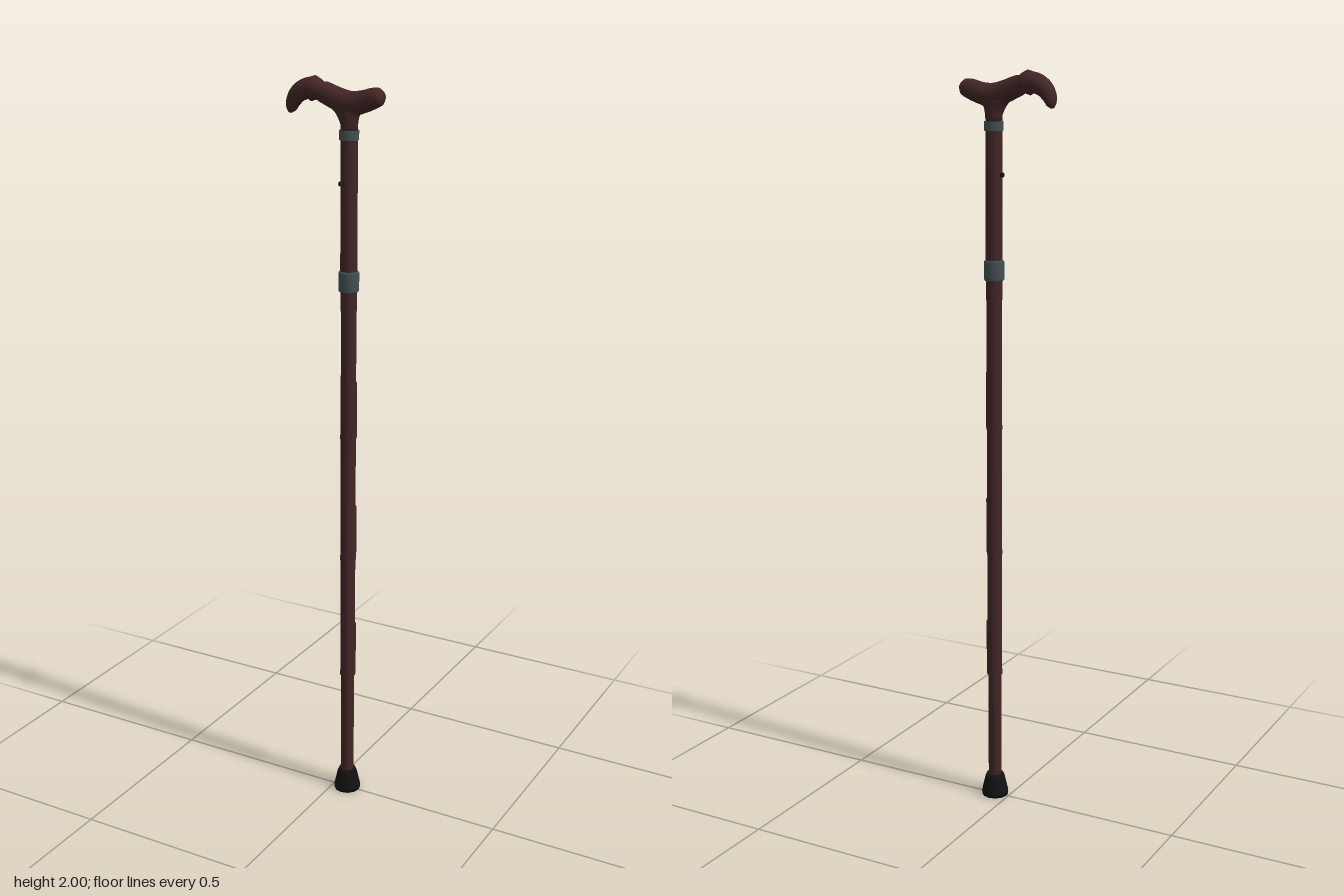
import * as THREE from 'three';

const wood = new THREE.MeshStandardMaterial({ color: 0x432626 });
wood.name = 'dark brown';
const metal = new THREE.MeshStandardMaterial({ color: 0x435052 });
metal.name = 'grey metal';
const rubber = new THREE.MeshStandardMaterial({ color: 0x121212 });
rubber.name = 'black rubber';

const AXIS = 0.042; // x of the shaft

// Closed smooth skin over elliptical rings; u x v points along the path
function loft(rings, sides = 24) {
  const pos = [], idx = [];
  for (const { c, u, v, a, b } of rings) {
    for (let j = 0; j < sides; j++) {
      const t = (j / sides) * Math.PI * 2;
      const p = c.clone().addScaledVector(u, a * Math.cos(t)).addScaledVector(v, b * Math.sin(t));
      pos.push(p.x, p.y, p.z);
    }
  }
  const n = rings.length;
  const first = n * sides, last = first + 1;
  pos.push(...rings[0].c.toArray(), ...rings[n - 1].c.toArray());
  for (let j = 0; j < sides; j++) {
    const k = (j + 1) % sides;
    for (let i = 0; i < n - 1; i++) {
      const p = i * sides, q = p + sides;
      idx.push(p + j, p + k, q + j, p + k, q + k, q + j);
    }
    const e = (n - 1) * sides;
    idx.push(first, k, j, last, e + j, e + k);
  }
  const g = new THREE.BufferGeometry();
  g.setAttribute('position', new THREE.Float32BufferAttribute(pos, 3));
  g.setIndex(idx);
  g.computeVertexNormals();
  return g;
}

// Curved grip: centre x, centre y, half height, half width
function gripGeometry() {
  const stations = [
    [-0.127, 1.910, 0.004, 0.008],
    [-0.124, 1.919, 0.012, 0.017],
    [-0.117, 1.940, 0.019, 0.023],
    [-0.100, 1.961, 0.024, 0.026],
    [-0.070, 1.973, 0.027, 0.027],
    [-0.030, 1.965, 0.027, 0.027],
    [0.010, 1.950, 0.029, 0.027],
    [0.045, 1.941, 0.031, 0.027],
    [0.080, 1.947, 0.028, 0.027],
    [0.110, 1.957, 0.026, 0.027],
    [0.127, 1.962, 0.022, 0.025],
    [0.135, 1.964, 0.012, 0.016],
  ];
  const path = new THREE.CatmullRomCurve3(stations.map(s => new THREE.Vector3(s[0], s[1], 0)));
  const size = new THREE.CatmullRomCurve3(stations.map(s => new THREE.Vector3(s[2], s[3], 0)));
  const rings = [], steps = 44;
  for (let i = 0; i <= steps; i++) {
    const d = path.getTangent(i / steps), s = size.getPoint(i / steps);
    rings.push({
      c: path.getPoint(i / steps),
      u: new THREE.Vector3(-d.y, d.x, 0), v: new THREE.Vector3(0, 0, 1),
      a: s.x, b: s.y,
    });
  }
  return loft(rings);
}

// Neck flaring from the shaft into the grip: y, centre x, half x, half z
function neckGeometry() {
  const u = new THREE.Vector3(0, 0, 1), v = new THREE.Vector3(1, 0, 0);
  return loft([
    [1.870, 0.042, 0.022, 0.022],
    [1.890, 0.042, 0.022, 0.022],
    [1.905, 0.040, 0.027, 0.023],
    [1.918, 0.038, 0.034, 0.024],
    [1.930, 0.036, 0.046, 0.024],
    [1.942, 0.032, 0.060, 0.022],
  ].map(([y, x, b, a]) => ({ c: new THREE.Vector3(x, y, 0), u, v, a, b })));
}

export function createModel() {
  const model = new THREE.Group();

  const add = (name, geometry, material, x = 0, y = 0) => {
    const mesh = new THREE.Mesh(geometry, material);
    mesh.name = name;
    mesh.position.set(x, y, 0);
    model.add(mesh);
    return mesh;
  };
  const tube = (name, y0, y1, r, material) =>
    add(name, new THREE.CylinderGeometry(r, r, y1 - y0, 24), material, AXIS, (y0 + y1) / 2);

  // Handle
  add('grip', gripGeometry(), wood);
  add('neck', neckGeometry(), wood);
  tube('neckCollar', 1.852, 1.876, 0.025, metal);

  // Upper shaft with its height button on the right side
  tube('upperShaft', 1.5, 1.86, 0.022, wood);
  const button = add('heightButton', new THREE.CylinderGeometry(0.006, 0.006, 0.012, 12), rubber, AXIS - 0.022, 1.74);
  button.rotation.z = Math.PI / 2;

  // Clamp with bevelled edges
  const clamp = [[0, 1.465], [0.024, 1.465], [0.027, 1.469], [0.027, 1.515], [0.024, 1.519], [0, 1.519]];
  add('clamp', new THREE.LatheGeometry(clamp.map(p => new THREE.Vector2(...p)), 24), metal, AXIS);

  // Folding lower shaft
  tube('lowestSection', 0.05, 0.37, 0.0182, wood);
  tube('topSection', 1.42, 1.47, 0.0215, wood);
  const joints = [0.37, 0.72, 1.07, 1.42];
  joints.forEach((y, i) => {
    tube('jointRing', y - 0.006, y + 0.004, 0.0218, wood);
    if (i === joints.length - 1) return;
    tube('foldingSection', y, joints[i + 1], 0.0203, wood);
    // Half sleeve on the left side above each joint
    const sleeve = new THREE.CylinderGeometry(0.0228, 0.0228, 0.15, 16, 1, false, Math.PI * 0.1, Math.PI * 0.8);
    add('jointSleeve', sleeve, wood, AXIS, y + 0.075);
  });

  // Flared rubber foot
  const foot = [[0, 0], [0.037, 0], [0.037, 0.012], [0.033, 0.03], [0.027, 0.056], [0.024, 0.063], [0, 0.063]];
  add('rubberFoot', new THREE.LatheGeometry(foot.map(p => new THREE.Vector2(...p)), 12), rubber, AXIS);

  return model;
}
